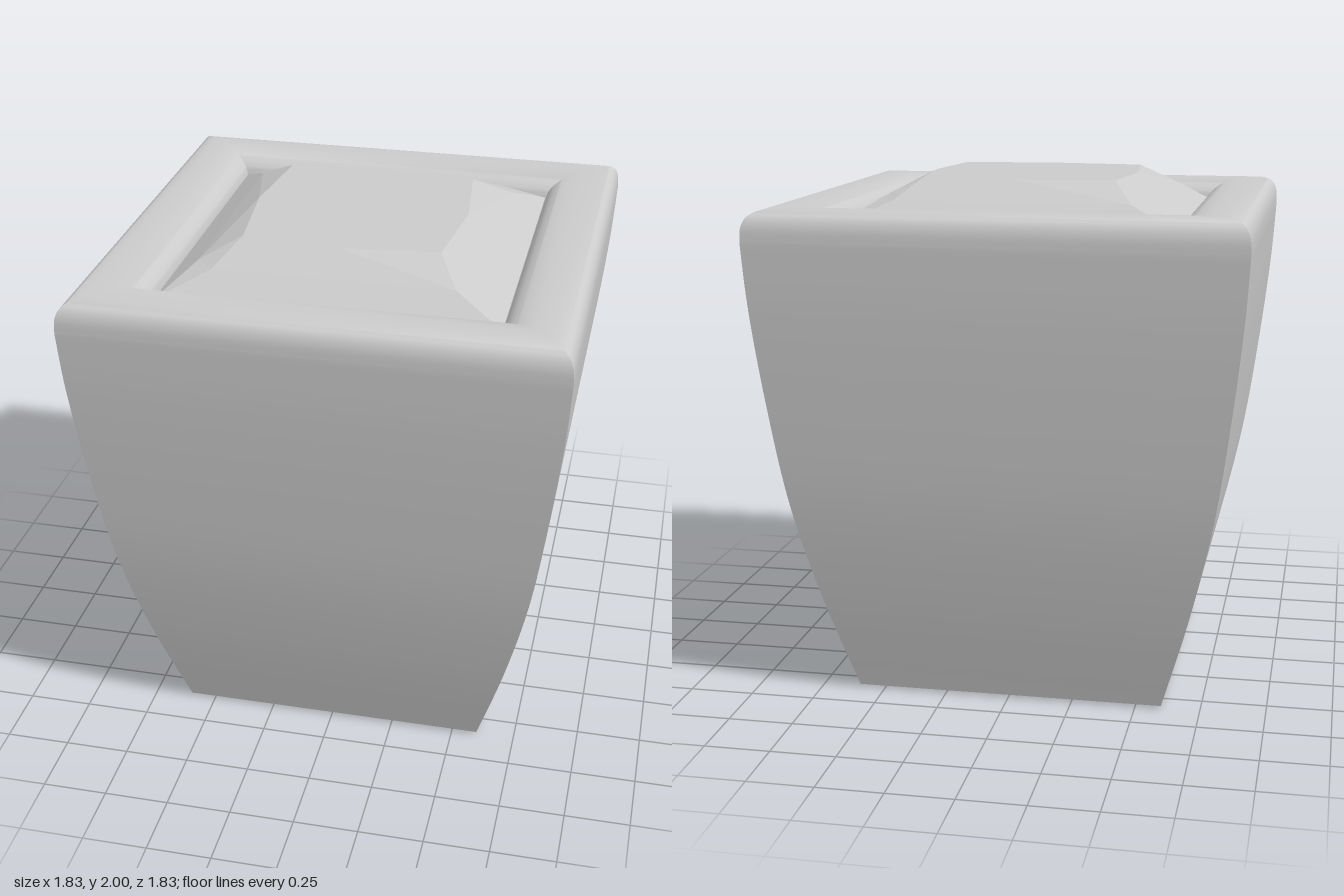
import * as THREE from 'three';
import { toCreasedNormals } from 'three/addons/utils/BufferGeometryUtils.js';

const v2 = (p) => new THREE.Vector2(p[0], p[1]);

export function createModel() {
  const group = new THREE.Group();
  group.name = 'planter';
  const material = new THREE.MeshStandardMaterial({ color: 0xcccccc, side: THREE.DoubleSide });

  // Square pot: half-width/height profile swept round four sides
  const wall = new THREE.SplineCurve([
    [0.6, 0.01], [0.71, 0.4], [0.8, 0.8], [0.858, 1.2], [0.897, 1.55], [0.914, 1.8],
  ].map(v2)).getPoints(30);
  const rim = new THREE.SplineCurve([
    [0.914, 1.8], [0.911, 1.855], [0.893, 1.895], [0.855, 1.915], [0.8, 1.92],
    [0.74, 1.916], [0.69, 1.9], [0.652, 1.872], [0.637, 1.835], [0.63, 1.79],
  ].map(v2)).getPoints(45);
  const profile = [v2([0.42, 0]), ...wall, ...rim.slice(1), v2([0.42, 0])];
  const corners = profile.map((p) => new THREE.Vector2(p.x * Math.SQRT2, p.y));
  const pot = new THREE.Mesh(
    toCreasedNormals(new THREE.LatheGeometry(corners, 4, Math.PI / 4), 0.6), material);
  pot.name = 'pot';
  group.add(pot);

  // Faceted soil mound: one side's facets, repeated by quarter turns
  const edgeY = 1.84, midY = 1.925, topY = 2;
  const c1 = [0.635, edgeY, 0.635], c2 = [-0.635, edgeY, 0.635];
  const p = [0.45, midY, 0.52], q = [-0.45, midY, 0.52], pNext = [0.52, midY, 0.45];
  const t1 = [0.37, topY, 0.37], t2 = [-0.37, topY, 0.37];
  const m = [0, topY, 0.41], o = [0, topY, 0];
  const facets = [
    c2, c1, p, c2, p, q, q, p, m, p, t1, m, q, m, t2,
    c1, pNext, p, p, pNext, t1, o, m, t1, o, t2, m,
  ];
  const positions = [];
  for (let i = 0; i < 4; i++) {
    const c = Math.cos(i * Math.PI / 2), s = Math.sin(i * Math.PI / 2);
    for (const [x, y, z] of facets) positions.push(x * c + z * s, y, z * c - x * s);
  }
  const soilGeometry = new THREE.BufferGeometry();
  soilGeometry.setAttribute('position', new THREE.Float32BufferAttribute(positions, 3));
  soilGeometry.computeVertexNormals();
  const soilMaterial = material.clone();
  soilMaterial.flatShading = true;
  const soil = new THREE.Mesh(soilGeometry, soilMaterial);
  soil.name = 'soil';
  group.add(soil);

  return group;
}
